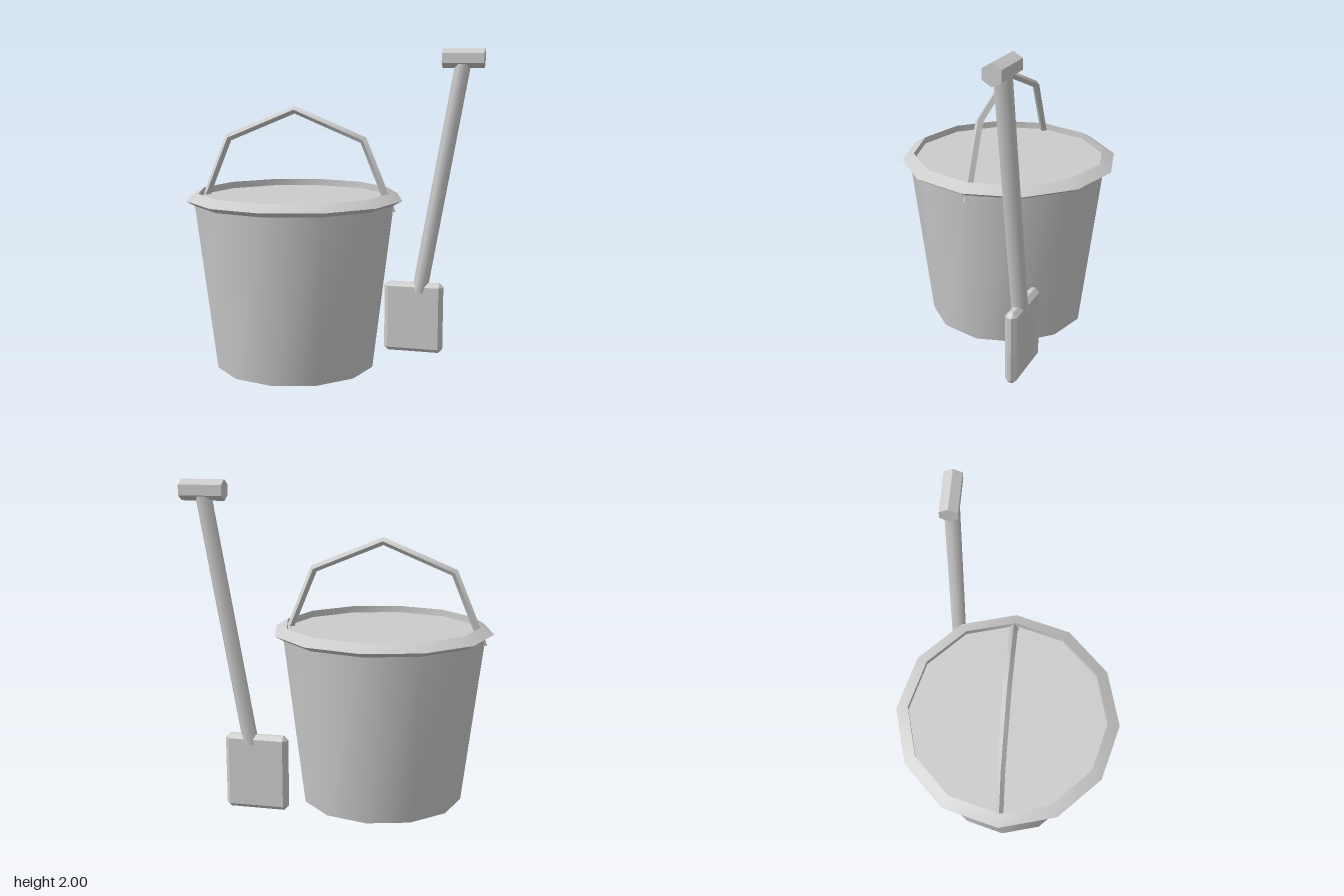
import * as THREE from 'three';
import { toCreasedNormals } from 'three/addons/utils/BufferGeometryUtils.js';
import { ConvexGeometry } from 'three/addons/geometries/ConvexGeometry.js';

const grey = new THREE.MeshStandardMaterial({ color: 0xcccccc });
grey.name = 'plainGrey';

function part(name, geometry, x, y, z) {
  const mesh = new THREE.Mesh(geometry, grey);
  mesh.name = name;
  mesh.position.set(x, y, z);
  return mesh;
}

const creased = (geometry) => toCreasedNormals(geometry, 0.65);

// Box with every edge cut off at 45 degrees
function chamferedBox(w, h, d, c) {
  const points = [];
  for (const sx of [-1, 1]) for (const sy of [-1, 1]) for (const sz of [-1, 1])
    for (let axis = 0; axis < 3; axis++) {
      const half = [w / 2, h / 2, d / 2].map((v, i) => (i === axis ? v : v - c));
      points.push(new THREE.Vector3(sx * half[0], sy * half[1], sz * half[2]));
    }
  return new ConvexGeometry(points);
}

export function createModel() {
  const model = new THREE.Group();
  model.name = 'bucketAndSpade';

  // Bucket: closed twelve-sided body, triangular rim, angular carrying handle
  const bucket = new THREE.Group();
  bucket.name = 'bucket';
  bucket.position.x = -0.225;
  bucket.add(part('bucketBody', creased(new THREE.CylinderGeometry(0.635, 0.505, 1.07, 12)), 0, 0.535, 0));

  const rim = new THREE.TorusGeometry(0.635, 0.05, 3, 12);
  rim.rotateX(-Math.PI / 2);
  bucket.add(part('bucketRim', creased(rim), 0, 1.07, 0));

  const handle = new THREE.TorusGeometry(0.62, 0.025, 4, 4, Math.PI);
  bucket.add(part('bucketHandle', creased(handle), 0, 1.0, 0));

  // Small caps closing the handle ends
  for (const side of [-1, 1]) {
    const cap = new THREE.CircleGeometry(0.025, 4);
    cap.rotateX(Math.PI / 2);
    bucket.add(part('handleEnd', cap, side * 0.62, 1.0, 0));
  }
  model.add(bucket);

  // Spade: chamfered blade, leaning six-sided shaft, crosswise grip
  const spade = new THREE.Group();
  spade.name = 'spade';
  spade.position.z = -0.4;
  spade.add(part('spadeBlade', chamferedBox(0.39, 0.47, 0.074, 0.026), 0.475, 0.235, 0));

  const bottom = new THREE.Vector3(0.513, 0.41, 0);
  const top = new THREE.Vector3(0.773, 1.92, 0);
  const along = top.clone().sub(bottom);
  const shaftGeometry = new THREE.CylinderGeometry(0.05, 0.05, along.length(), 6);
  shaftGeometry.rotateY(Math.PI / 6 + Math.PI / 3 * 1);
  const shaft = part('spadeShaft', shaftGeometry, 0, 0, 0);
  shaft.position.addVectors(bottom, top).multiplyScalar(0.5);
  shaft.rotation.z = -Math.atan2(along.x, along.y);
  spade.add(shaft);

  const grip = new THREE.CylinderGeometry(0.0625, 0.0625, 0.265, 6);
  grip.rotateY(Math.PI / 2);
  grip.rotateZ(Math.PI / 2);
  spade.add(part('spadeGrip', creased(grip), 0.773, 1.9375, 0));
  model.add(spade);

  return model;
}
